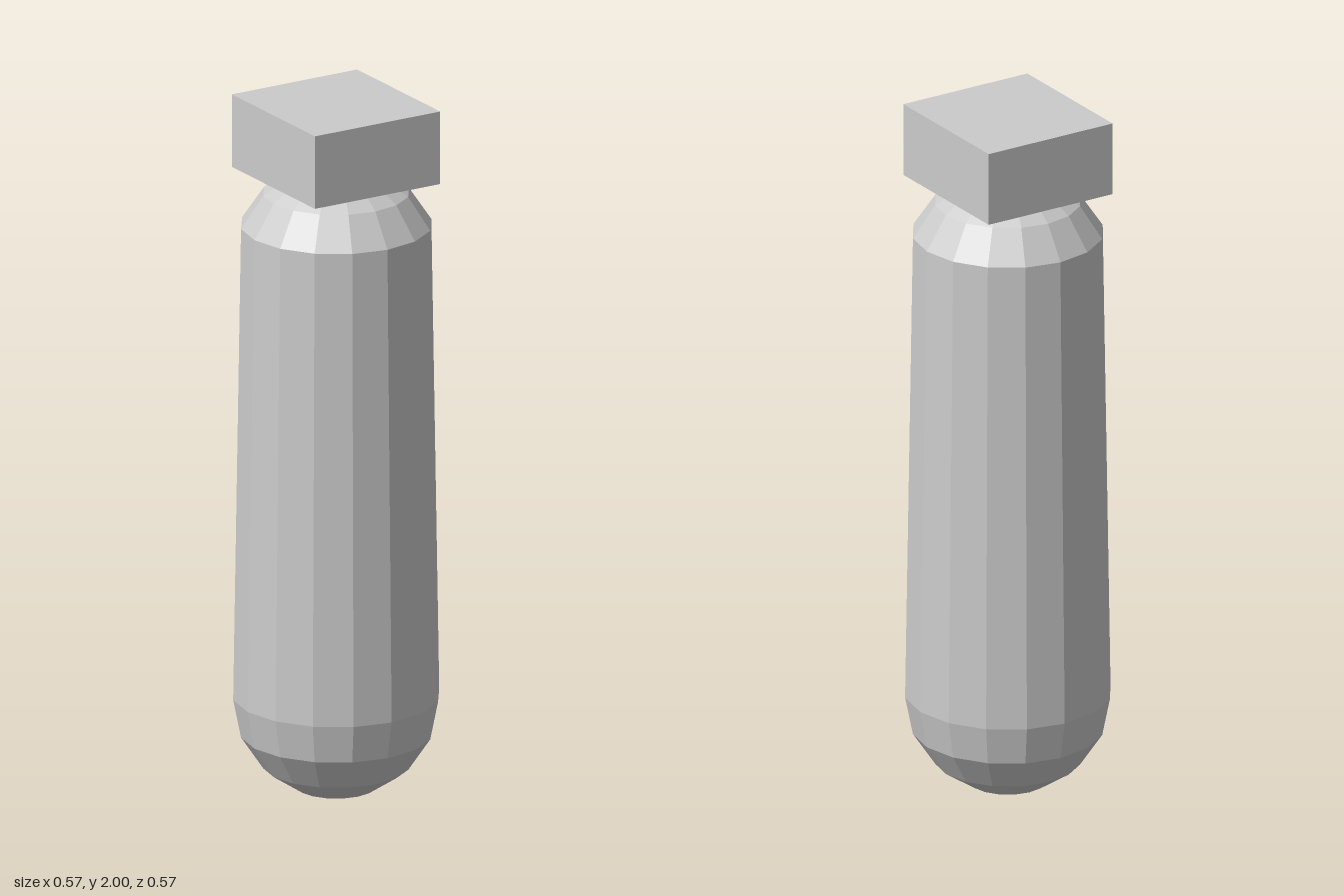
import * as THREE from 'three';

export function createModel() {
  const model = new THREE.Group();
  const material = new THREE.MeshStandardMaterial({ color: 0xcccccc, flatShading: true });
  const radius = 0.287;

  // Capsule body: a low-poly sphere whose rings above the equator are lifted
  const bodyGeometry = new THREE.SphereGeometry(radius, 16, 8);
  const position = bodyGeometry.attributes.position;
  for (let i = 0; i < position.count; i++) {
    const y = position.getY(i);
    position.setY(i, y + radius + (y > 0.01 ? 1.253 : 0));
  }
  bodyGeometry.computeVertexNormals();
  const body = new THREE.Mesh(bodyGeometry, material);
  body.name = 'body';
  model.add(body);

  // Square block resting on the domed top
  const cap = new THREE.Mesh(new THREE.BoxGeometry(0.406, 0.21, 0.43), material);
  cap.name = 'cap';
  cap.position.set(0, 1.895, -0.001);
  model.add(cap);

  return model;
}
